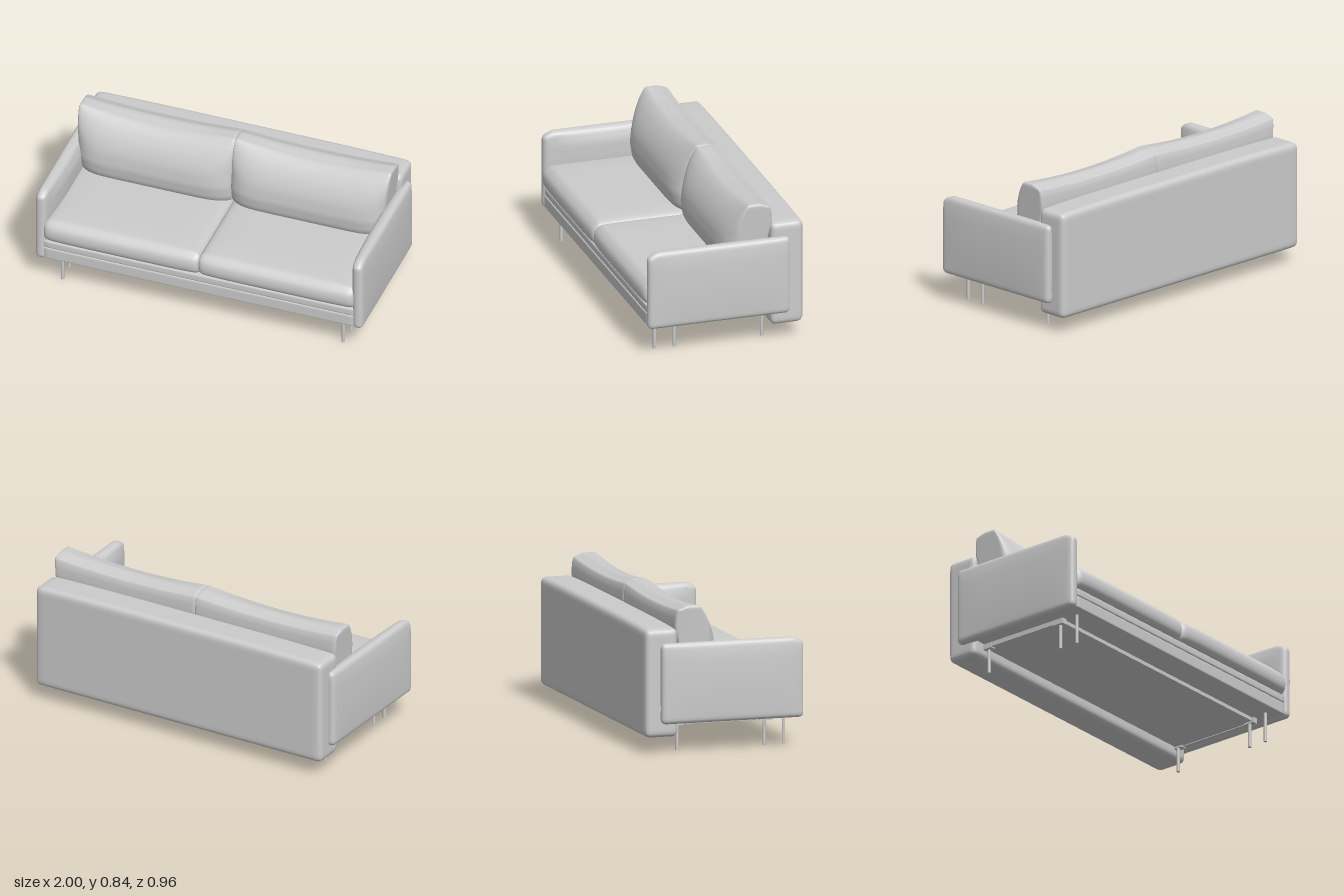
import * as THREE from 'three';
import { mergeVertices } from 'three/addons/utils/BufferGeometryUtils.js';

const material = new THREE.MeshStandardMaterial({ color: 0xcccccc, roughness: 0.8 });
const { lerp, clamp, smoothstep } = THREE.MathUtils;

function add(parent, name, geometry, x = 0, y = 0, z = 0) {
  const mesh = new THREE.Mesh(geometry, material);
  mesh.name = name;
  mesh.position.set(x, y, z);
  parent.add(mesh);
}

// Upholstered block: rounded box with vertices crowded at the edges,
// optionally reshaped by warp(point, u, v, w) with u, v, w in -1..1.
function softBox(w, h, d, r, warp, seg = 28) {
  let g = new THREE.BoxGeometry(2, 2, 2, seg, seg, seg);
  g.deleteAttribute('normal');
  g.deleteAttribute('uv');
  g = mergeVertices(g);
  const half = new THREE.Vector3(w / 2, h / 2, d / 2);
  const inner = half.clone().subScalar(r);
  const low = inner.clone().negate();
  const pos = g.attributes.position;
  const p = new THREE.Vector3(), c = new THREE.Vector3();
  const ease = t => Math.sin(t * Math.PI / 2);
  for (let i = 0; i < pos.count; i++) {
    p.fromBufferAttribute(pos, i);
    p.set(ease(p.x), ease(p.y), ease(p.z)).multiply(half);
    c.copy(p).clamp(low, inner);
    p.sub(c).setLength(r).add(c);
    if (warp) warp(p, p.x / half.x, p.y / half.y, p.z / half.z);
    pos.setXYZ(i, p.x, p.y, p.z);
  }
  g.computeVertexNormals();
  return g;
}

// Copy flipped in x, with the corner order of the faces restored
function mirrored(geometry) {
  const g = geometry.clone().scale(-1, 1, 1);
  const index = g.index.array;
  for (let i = 0; i < index.length; i += 3) {
    [index[i], index[i + 1]] = [index[i + 1], index[i]];
  }
  g.computeVertexNormals();
  return g;
}

// Linear lookup in a list of [key, value] pairs
function lookup(table, k) {
  const last = table.length - 1;
  let i = 1;
  while (i < last && k > table[i][0]) i++;
  const [a, va] = table[i - 1], [b, vb] = table[i];
  return lerp(va, vb, clamp((k - a) / (b - a), 0, 1));
}

// Side profile of the back cushions: height -> z of front and rear faces
const cushionFront = [[0.43, -0.05], [0.48, -0.025], [0.55, -0.015], [0.63, -0.024],
  [0.68, -0.04], [0.73, -0.064], [0.78, -0.098], [0.81, -0.125], [0.85, -0.165]];
const cushionRear = [[0.43, -0.25], [0.55, -0.27], [0.63, -0.278], [0.71, -0.298],
  [0.78, -0.294], [0.85, -0.278]];

function backCushionGeometry() {
  return softBox(0.95, 0.4, 0.24, 0.02, (p, u, v, w) => {
    const y = 0.635 + p.y;
    const top = Math.max(v, 0);
    // front face pinched towards both ends
    const front = lookup(cushionFront, y) - 0.065 * u ** 8 * (1 - top);
    p.z = lerp(lookup(cushionRear, y), front, (w + 1) / 2);
    // sagging top edge with lifted corners, rolled off to front and rear
    const roll = 0.02 * smoothstep(-w, 0, 1) + 0.012 * smoothstep(w, 0, 1) * (1 - u * u);
    p.y = y + top * (0.02 * u * u - 0.01) - roll * top ** 6;
    // outer side drawn in towards the seat
    if (u > 0) p.x -= 0.016 * u * (1 - v);
  });
}

function seatCushionGeometry() {
  return softBox(0.948, 0.135, 0.76, 0.04, (p, u, v, w) => {
    // crowned top and rounded, slightly bowed front lip
    if (v > 0) p.y += v * (0.008 + 0.016 * (1 - u ** 6) * (1 - w ** 4));
    p.z -= smoothstep(w, 0.8, 1) * (0.01 * u ** 6 + 0.025 * v * v);
  });
}

function armGeometry() {
  return softBox(0.06, 0.465, 0.85, 0.028, (p, u, v, w) => {
    const top = smoothstep(v, 0.6, 1);
    // padded inner face, thickest below the arched top
    const pad = smoothstep(v, -0.7, 0.3) * (1 - 0.6 * top) * (1 - Math.abs(w) ** 3);
    if (u < 0) p.x += 0.032 * u * pad;
    // gently bowed outer face
    if (u > 0) p.x += 0.01 * u * (1 - v * v) * (1 - w ** 4) - 0.004 * u * top;
    // softer upper front corner
    p.y -= 0.022 * smoothstep(w, 0.84, 1) * smoothstep(v, 0.6, 1);
  });
}

export function createModel() {
  const sofa = new THREE.Group();
  sofa.name = 'sofa';

  // Base: lower rail and upper platform with a shadow gap between
  add(sofa, 'baseRail', softBox(1.88, 0.074, 0.735, 0.008, null, 12), 0, 0.215, 0.085);
  add(sofa, 'basePlatform', softBox(1.88, 0.05, 0.735, 0.012, null, 12), 0, 0.276, 0.085);

  // Backrest block with a slightly crowned top
  add(sofa, 'backrest', softBox(1.91, 0.625, 0.197, 0.035, (p, u, v) => {
    if (v > 0.5) p.y += 0.008 * (1 - u ** 4) * (v - 0.5) * 2;
  }), 0, 0.404, -0.3815);

  // Sliding panel below the base, between the frame rails
  add(sofa, 'slidingPanel', new THREE.BoxGeometry(1.72, 0.026, 0.56), 0, 0.169, 0.005);

  const seat = seatCushionGeometry();
  const back = backCushionGeometry();
  const arm = armGeometry();
  const frontLeg = new THREE.CylinderGeometry(0.0095, 0.0095, 0.18, 16);
  const frameLeg = new THREE.CylinderGeometry(0.0095, 0.0095, 0.15, 16);

  for (const side of [1, -1]) {
    const half = new THREE.Group();
    half.name = side > 0 ? 'leftHalf' : 'rightHalf';
    sofa.add(half);
    const sided = g => (side > 0 ? g : mirrored(g));

    add(half, 'seatCushion', sided(seat), side * 0.468, 0.364, 0.1);
    add(half, 'backCushion', sided(back), side * 0.4715);
    add(half, 'armrest', sided(arm), side * 0.96, 0.4025, 0.034);

    // Front leg, and the sliding frame's legs with their brackets
    add(half, 'frontLeg', frontLeg, side * 0.85, 0.09, 0.38);
    for (const z of [0.263, -0.26]) {
      add(half, 'frameLeg', frameLeg, side * 0.853, 0.075, z);
      add(half, 'frameBracket', new THREE.BoxGeometry(0.035, 0.034, 0.07), side * 0.86, 0.162, z);
    }
    add(half, 'frameRail', new THREE.BoxGeometry(0.02, 0.03, 0.5), side * 0.866, 0.166, 0);

    // Small hinge plate behind the armrest
    add(half, 'hingePlate', new THREE.BoxGeometry(0.012, 0.03, 0.02), side * 0.951, 0.262, -0.395);
  }
  return sofa;
}
